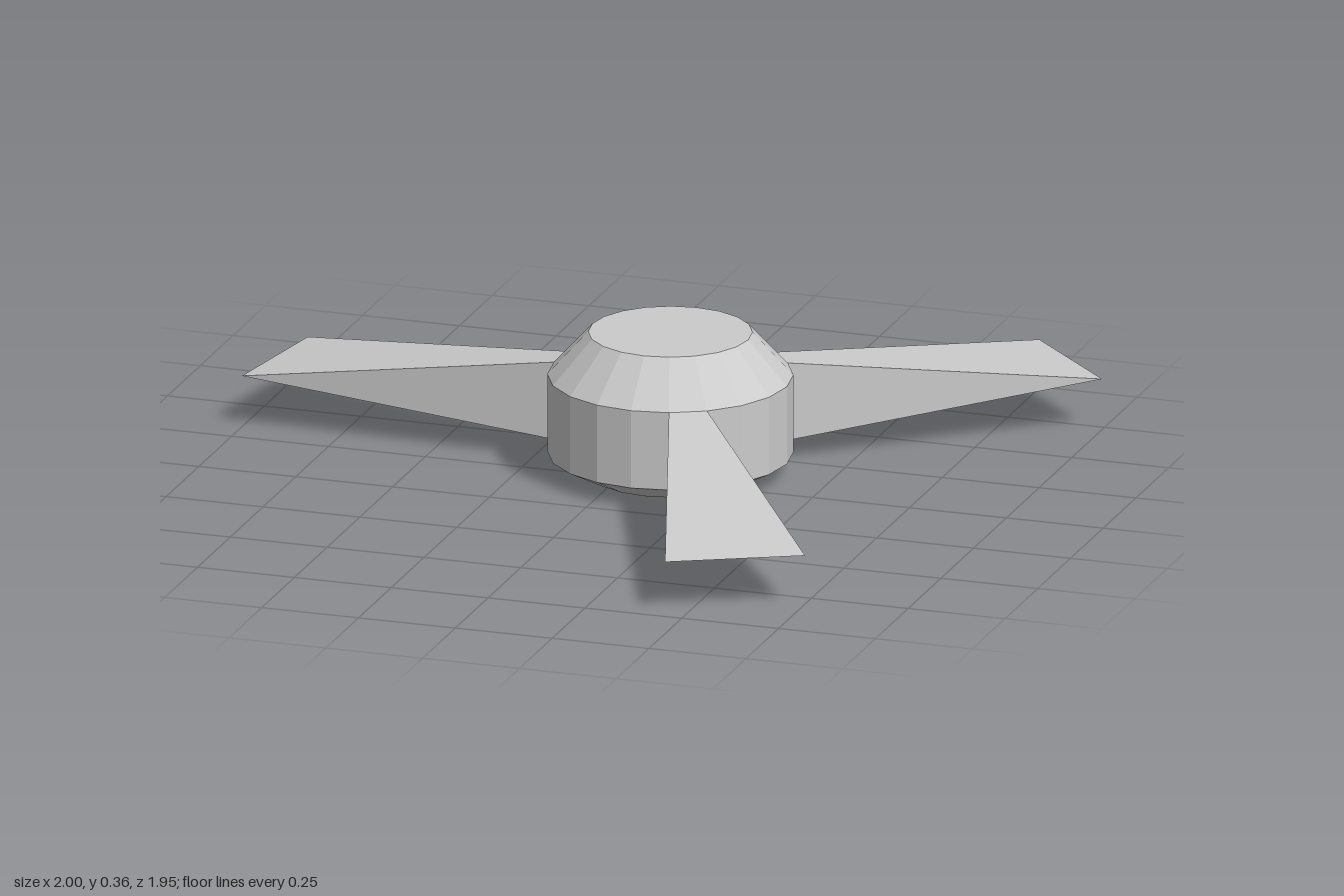
import * as THREE from 'three';

const SIDES = 20;
const STEP = (Math.PI * 2) / SIDES;
const HUB_R = 0.301, TIP_R = 1.106;
const LOW = 0.052, HIGH = 0.251, TOP = 0.361, TIP_Y = 0.131;

// Wedge growing out of one hub facet to a level, knife-like tip edge
function bladeGeometry() {
  const at = (r, y, i) => [r * Math.cos(i * STEP), y, r * Math.sin(i * STEP)];
  const a0 = at(HUB_R, LOW, 0), a1 = at(HUB_R, HIGH, 0), ta = at(TIP_R, TIP_Y, 0);
  const b0 = at(HUB_R, LOW, 1), b1 = at(HUB_R, HIGH, 1), tb = at(TIP_R, TIP_Y, 1);
  const corners = [
    a1, b1, tb, a1, tb, ta, // upper face
    b0, a0, ta, b0, ta, tb, // lower face
    a0, a1, ta, b1, b0, tb, // sides
  ];
  const geometry = new THREE.BufferGeometry();
  geometry.setAttribute('position', new THREE.Float32BufferAttribute(corners.flat(), 3));
  geometry.computeVertexNormals();
  return geometry;
}

export function createModel() {
  const material = new THREE.MeshStandardMaterial({ color: 0xcccccc, flatShading: true });
  const propeller = new THREE.Group();
  propeller.name = 'propeller';

  // Faceted hub with bevelled top and bottom
  const profile = [[0, 0], [0.201, 0], [HUB_R, LOW], [HUB_R, HIGH], [0.201, TOP], [0, TOP]];
  const hub = new THREE.Mesh(
    new THREE.LatheGeometry(profile.map(([r, y]) => new THREE.Vector2(r, y)), SIDES),
    material
  );
  hub.name = 'hub';
  propeller.add(hub);

  // Three blades, each on its own hub facet
  const geometry = bladeGeometry();
  const facets = { bladeRight: 10, bladeBackLeft: -3, bladeFrontLeft: 3 };
  for (const [name, facet] of Object.entries(facets)) {
    const blade = new THREE.Mesh(geometry, material);
    blade.name = name;
    blade.rotation.y = -facet * STEP;
    propeller.add(blade);
  }

  // The hub sits off-centre so the whole span is centred
  propeller.position.set(0.106, 0, -0.079);
  const model = new THREE.Group();
  model.name = 'model';
  model.add(propeller);
  return model;
}
